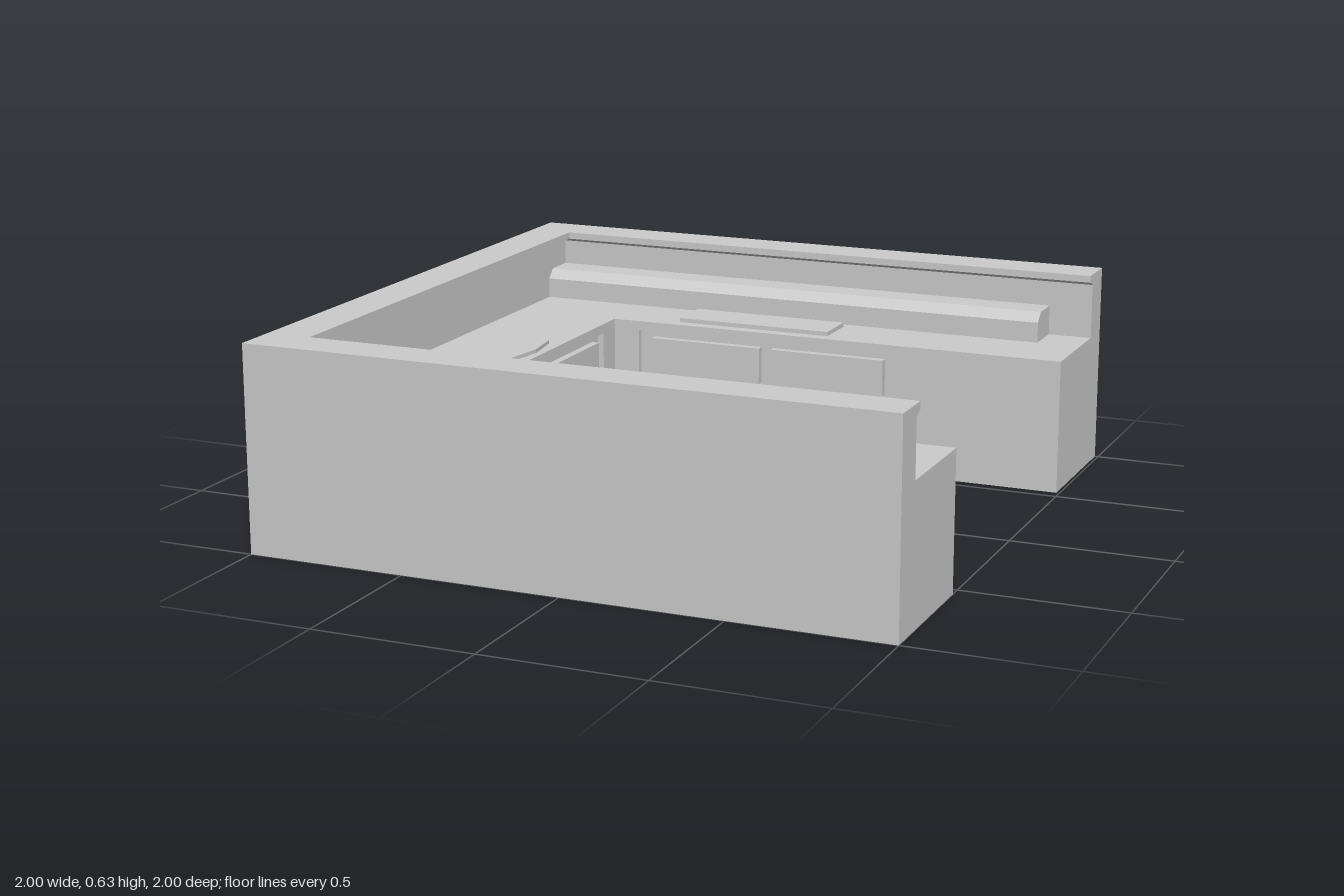
import * as THREE from 'three';

const mat = new THREE.MeshStandardMaterial({ color: 0xcccccc, flatShading: true, side: THREE.DoubleSide });

function add(parent, name, geometry, x = 0, y = 0, z = 0) {
  const mesh = new THREE.Mesh(geometry, mat);
  mesh.name = name;
  mesh.position.set(x, y, z);
  parent.add(mesh);
  return mesh;
}

const polygon = (pts) => new THREE.Shape(pts.map(([x, y]) => new THREE.Vector2(x, y)));
const rect = (x0, y0, x1, y1) => polygon([[x0, y0], [x1, y0], [x1, y1], [x0, y1]]);

// Box without its back, and optionally without its front
function openBox(w, h, d, front) {
  const geo = new THREE.BoxGeometry(w, h, d);
  geo.setIndex(Array.from(geo.index.array).slice(0, front ? 30 : 24));
  geo.clearGroups();
  return geo;
}

// Cross-section as [distance inward from the outer wall, height]
const DEPTH = 0.46, TOP = 0.425;
const profile = [[0, 0], [0, 0.635], [0.14, 0.635], [0.14, 0.613], [0.11, 0.6], [0.11, TOP], [DEPTH, TOP]];
const END_LEFT = 1, END_RIGHT = 0.99;

// Sweep the cross-section round the U with mitred corners
function sweptShell() {
  const path = (d) => [[END_LEFT, 1 - d], [d - 1, 1 - d], [d - 1, d - 1], [END_RIGHT, d - 1]];
  const pos = [];
  for (let j = 0; j < profile.length - 1; j++) {
    const [d0, y0] = profile[j], [d1, y1] = profile[j + 1];
    const p = path(d0), q = path(d1);
    for (let i = 0; i < 3; i++) {
      const a = [p[i][0], y0, p[i][1]], b = [p[i + 1][0], y0, p[i + 1][1]];
      const c = [q[i + 1][0], y1, q[i + 1][1]], d = [q[i][0], y1, q[i][1]];
      pos.push(...a, ...d, ...c, ...a, ...c, ...b);
    }
  }
  const geo = new THREE.BufferGeometry();
  geo.setAttribute('position', new THREE.Float32BufferAttribute(pos, 3));
  geo.computeVertexNormals();
  return geo;
}

// Cabinet front spanning x0..x1, with a recessed frame and four raised panels
function cabinetFront(x0, x1) {
  const g = new THREE.Group();
  g.name = 'cabinetFront';
  const W = 0.452, Y0 = 0.045, Y1 = 0.395, RECESS = 0.02, PROUD = 0.005;
  const face = rect(x0, 0, x1, TOP);
  face.holes.push(rect(-W, Y0, W, Y1));
  add(g, 'cabinetFace', new THREE.ShapeGeometry(face));
  add(g, 'recessSides', openBox(2 * W, Y1 - Y0, RECESS, false), 0, (Y0 + Y1) / 2, -RECESS / 2);

  const back = rect(-W, Y0, W, Y1);
  const w = 0.385, h = 0.118;
  for (const x of [-0.213, 0.213]) {
    for (const y of [0.153, 0.314]) {
      back.holes.push(rect(x - w / 2, y - h / 2, x + w / 2, y + h / 2));
      add(g, 'doorPanel', openBox(w, h, RECESS + PROUD, true), x, y, (PROUD - RECESS) / 2);
    }
  }
  add(g, 'doorFrame', new THREE.ShapeGeometry(back), 0, 0, -RECESS);
  return g;
}

export function createModel() {
  const model = new THREE.Group();
  model.name = 'counterUnit';

  // Outer walls, overhanging ledge and worktop, open underneath
  add(model, 'wallsAndWorktop', sweptShell());

  // Inner cabinet fronts: far arm, rear, near arm
  const inner = 1 - DEPTH;
  const fronts = [
    [-inner, END_RIGHT, 0, 0, -inner],
    [-inner, inner, Math.PI / 2, -inner, 0],
    [-END_LEFT, inner, Math.PI, 0, inner],
  ];
  for (const [x0, x1, turn, x, z] of fronts) {
    const front = cabinetFront(x0, x1);
    front.rotation.y = turn;
    front.position.set(x, 0, z);
    model.add(front);
  }

  // Parts on each arm
  const rail = [[0.11, TOP], [0.11, 0.52], [0.21, 0.52], [0.24, 0.49], [0.24, TOP]];
  for (const side of [1, -1]) {
    const section = (pts) => polygon(pts.map(([d, y]) => [side * d, y]));
    const end = add(model, 'armEnd', new THREE.ShapeGeometry(section([...profile, [DEPTH, 0]])),
      side > 0 ? END_LEFT : END_RIGHT, 0, side);
    end.rotation.y = Math.PI / 2;

    // Chamfered rail against the wall
    const bar = add(model, 'backRail',
      new THREE.ExtrudeGeometry(section(rail), { depth: 1.74, bevelEnabled: false }), -0.89, 0, side);
    bar.rotation.y = Math.PI / 2;

    // Rectangular plate on the worktop
    add(model, 'worktopPlate', new THREE.BoxGeometry(0.52, 0.014, 0.15), -0.06, TOP + 0.007, side * 0.655);
  }

  // Oval plate on the rear worktop
  const oval = add(model, 'ovalPlate', new THREE.CylinderGeometry(1, 1, 0.012, 12), -0.705, TOP + 0.006, 0);
  oval.scale.set(0.142, 1, 0.262);

  return model;
}
